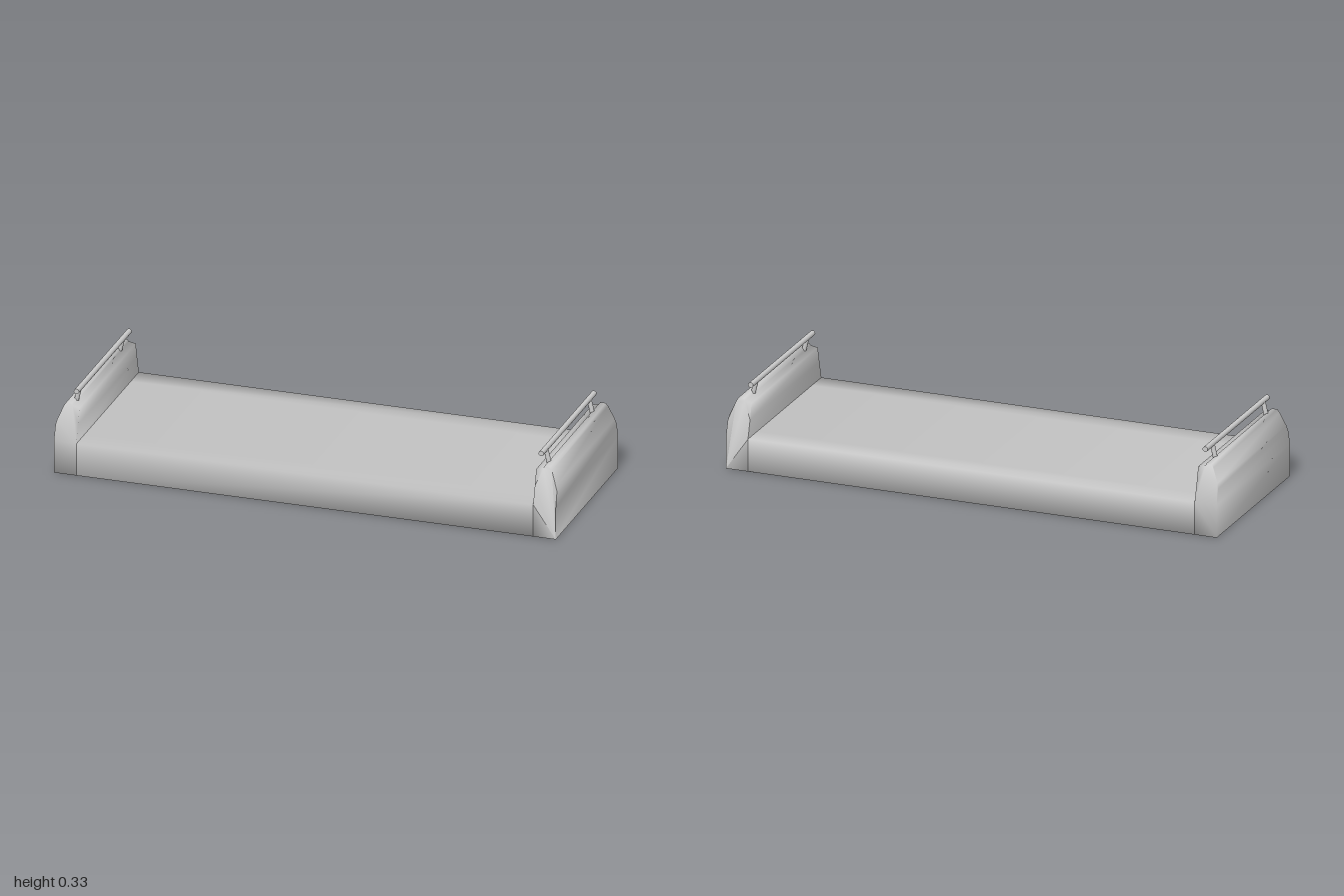
import * as THREE from 'three';
import { toCreasedNormals } from 'three/addons/utils/BufferGeometryUtils.js';

const material = new THREE.MeshStandardMaterial({ color: 0xcccccc });
const SOFT = 1.7; // crease angle that shades square edges softly

function addMesh(parent, geometry, name) {
  const mesh = new THREE.Mesh(geometry, material);
  mesh.name = name;
  parent.add(mesh);
  return mesh;
}

function extrude(points, depth) {
  const shape = new THREE.Shape(points.map(([x, y]) => new THREE.Vector2(x, y)));
  return new THREE.ExtrudeGeometry(shape, { depth, bevelEnabled: false })
    .translate(0, 0, -depth / 2);
}

// Round bar between two points
function rod(parent, from, to, radius, name) {
  const a = new THREE.Vector3(...from), b = new THREE.Vector3(...to);
  const dir = b.clone().sub(a);
  const mesh = addMesh(parent, new THREE.CylinderGeometry(radius, radius, dir.length(), 16), name);
  mesh.position.copy(a).add(b).multiplyScalar(0.5);
  mesh.quaternion.setFromUnitVectors(new THREE.Vector3(0, 1, 0), dir.normalize());
}

// Half-length of an end wall at a given height
function halfLength(y) {
  if (y <= 0.13) return 0.365;
  if (y <= 0.2) return THREE.MathUtils.mapLinear(y, 0.13, 0.2, 0.365, 0.345);
  return THREE.MathUtils.mapLinear(y, 0.2, 0.277, 0.345, 0.325);
}

function endWallGeometry(side) {
  const profile = [[0.91, 0], [1, 0], [1, 0.13], [0.999, 0.19], [0.994, 0.21], [0.972, 0.265],
    [0.964, 0.277], [0.942, 0.277], [0.938, 0.268], [0.91, 0.262], [0.91, 0.2], [0.91, 0.13]];
  const points = profile.map(([x, y]) => [side * x, y]);
  const geometry = extrude(points, 1);
  const p = geometry.attributes.position;
  for (let i = 0; i < p.count; i++) p.setZ(i, Math.sign(p.getZ(i)) * halfLength(p.getY(i)));
  return toCreasedNormals(geometry, SOFT);
}

export function createModel() {
  const model = new THREE.Group();

  // Flat slab between the end walls, softly shaded along its long edges
  const edge = [[0.365, 0], [0.365, 0.13], [0.27, 0.13]];
  const section = [...edge, ...edge.map(([z, y]) => [-z, y]).reverse()];
  const slab = extrude(section, 1.82).rotateY(Math.PI / 2);
  addMesh(model, toCreasedNormals(slab, SOFT), 'slab');

  // Raised end walls, each with a leaning handrail
  for (const side of [-1, 1]) {
    const end = new THREE.Group();
    end.name = side > 0 ? 'leftEnd' : 'rightEnd';
    addMesh(end, endWallGeometry(side), 'endWall');
    for (const z of [0.27, -0.235]) {
      rod(end, [side * 0.943, 0.262, z], [side * 0.929, 0.322, z], 0.009, 'railPost');
    }
    rod(end, [side * 0.926, 0.3225, 0.318], [side * 0.926, 0.3225, -0.299], 0.0105, 'handrail');
    model.add(end);
  }
  return model;
}
